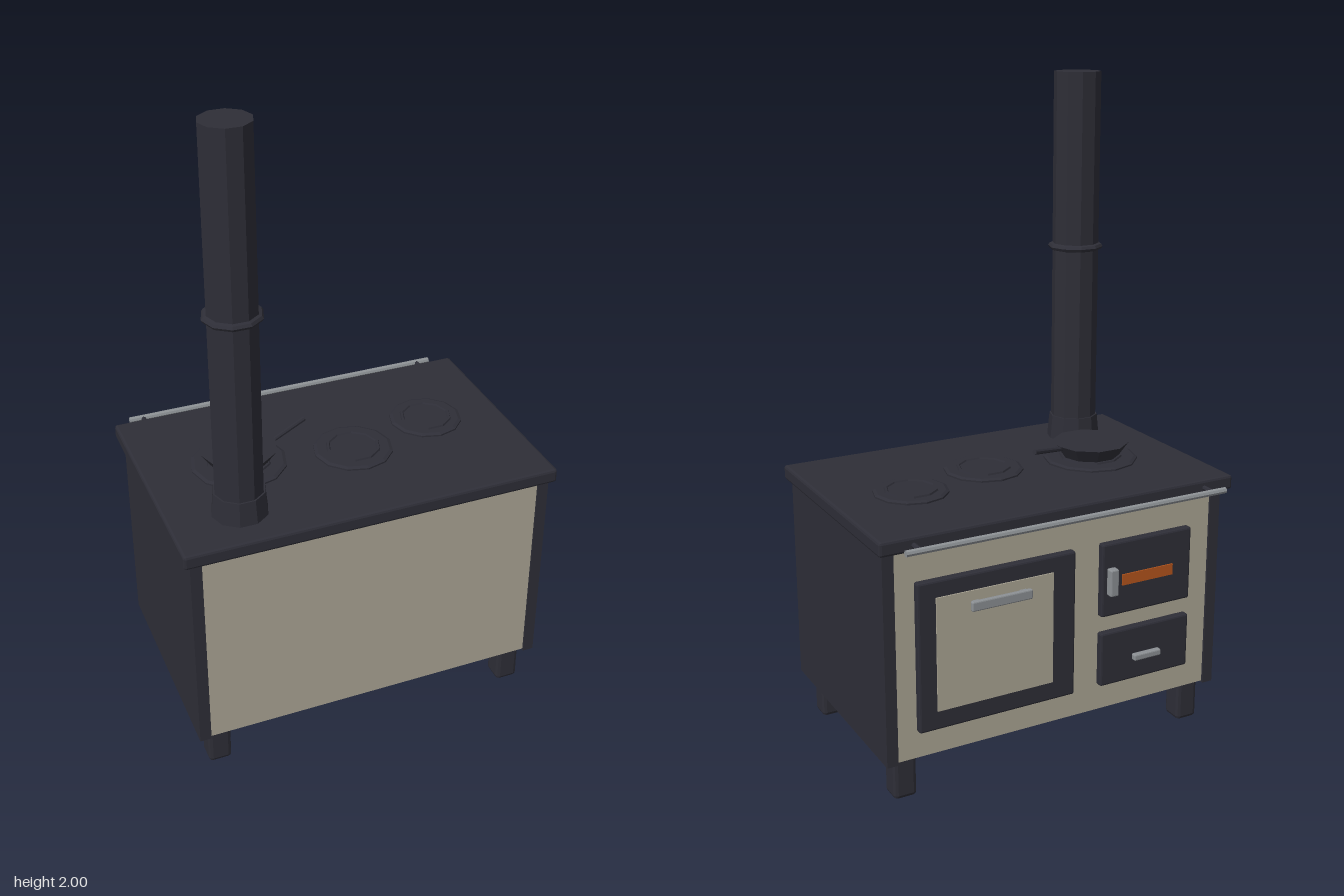
import * as THREE from 'three';
import { RoundedBoxGeometry } from 'three/addons/geometries/RoundedBoxGeometry.js';

const material = (name, color) => {
  const m = new THREE.MeshStandardMaterial({ color, flatShading: true });
  m.name = name;
  return m;
};

export function createModel() {
  const iron = material('dark iron', 0x2e2e37);
  const enamel = material('cream enamel', 0xaca695);
  const steel = material('steel', 0x8c9094);
  const ember = material('ember orange', 0xb5551c);

  const stove = new THREE.Group();
  stove.name = 'stove';

  const add = (name, geometry, mat, x = 0, y = 0, z = 0) => {
    const mesh = new THREE.Mesh(geometry, mat);
    mesh.name = name;
    mesh.position.set(x, y, z);
    stove.add(mesh);
    return mesh;
  };
  // Box given by its lowest and highest corners, with an optional bevel
  const box = (name, mat, [x0, y0, z0], [x1, y1, z1], bevel = 0) => {
    const s = [x1 - x0, y1 - y0, z1 - z0];
    const g = bevel ? new RoundedBoxGeometry(...s, 1, bevel) : new THREE.BoxGeometry(...s);
    return add(name, g, mat, (x0 + x1) / 2, (y0 + y1) / 2, (z0 + z1) / 2);
  };
  // Turned part with a corner on the x axis
  const turned = (name, points, sides, x, y, z) => {
    const g = new THREE.LatheGeometry(points.map(p => new THREE.Vector2(...p)), sides, Math.PI / 2);
    return add(name, g, iron, x, y, z);
  };
  // Straight round bar between two points
  const bar = (name, mat, a, b, r0, r1 = r0) => {
    const p = new THREE.Vector3(...a), q = new THREE.Vector3(...b);
    const mesh = add(name, new THREE.CylinderGeometry(r1, r0, p.distanceTo(q), 8), mat);
    mesh.position.copy(p).lerp(q, 0.5);
    mesh.quaternion.setFromUnitVectors(new THREE.Vector3(0, 1, 0), q.sub(p).normalize());
    return mesh;
  };

  // Body, side panels and worktop
  box('body', enamel, [-0.53, 0.135, -0.305], [0.525, 0.79, 0.375]);
  box('rightSidePanel', iron, [-0.565, 0.13, -0.312], [-0.53, 0.79, 0.38]);
  box('leftSidePanel', iron, [0.525, 0.13, -0.312], [0.56, 0.79, 0.38]);
  box('worktop', iron, [-0.585, 0.785, -0.345], [0.58, 0.83, 0.395], 0.008);

  // Legs
  for (const x of [-0.494, 0.491]) {
    for (const z of [-0.248, 0.312]) {
      box('leg', iron, [x - 0.036, 0, z - 0.036], [x + 0.036, 0.135, z + 0.036], 0.012);
    }
  }

  // Flue pipe with flared collar and joint ring
  const fx = -0.369, fz = 0.238;
  turned('fluePipe', [[0, 0.83], [0.073, 0.83], [0.073, 2], [0, 2]], 10, fx, 0, fz);
  turned('flueCollar', [[0.085, 0.83], [0.078, 0.905], [0.072, 0.905]], 10, fx, 0, fz);
  turned('flueRing', [[0.072, 1.449], [0.082, 1.452], [0.087, 1.46], [0.082, 1.468], [0.072, 1.471]], 10, fx, 0, fz);

  // Hot plates, stepped toward the middle
  for (const [x, z, r, inner] of [[-0.292, 0.003, 0.147, 0.1], [0.056, 0.061, 0.123, 0.086], [0.336, -0.017, 0.114, 0.083]]) {
    turned('hotPlate', [[r, 0], [r, 0.006], [r - 0.01, 0.01], [0, 0.01]], 12, x, 0.829, z);
    turned('hotPlateRing', [[inner, 0.008], [inner - 0.003, 0.015], [inner - 0.01, 0.015], [inner - 0.013, 0.011], [0, 0.011]], 10, x, 0.829, z);
  }

  // Frying pan
  turned('pan', [[0, 0.844], [0.09, 0.844], [0.119, 0.886], [0, 0.886]], 10, -0.292, 0, 0.003);
  bar('panHandle', iron, [-0.185, 0.877, -0.002], [-0.06, 0.9, -0.052], 0.007, 0.008);

  // Oven door with enamel panel and pull handle
  box('ovenDoor', iron, [-0.045, 0.22, -0.328], [0.463, 0.68, -0.3], 0.006);
  box('ovenDoorPanel', enamel, [0.032, 0.28, -0.332], [0.408, 0.63, -0.326]);
  box('ovenHandle', steel, [0.114, 0.575, -0.357], [0.308, 0.605, -0.342], 0.004);
  for (const x of [0.135, 0.287]) {
    box('ovenHandleMount', steel, [x - 0.01, 0.58, -0.345], [x + 0.01, 0.6, -0.33]);
  }

  // Firebox door with glowing slot and lever
  box('fireboxDoor', iron, [-0.452, 0.447, -0.328], [-0.137, 0.68, -0.3], 0.006);
  box('fireSlot', ember, [-0.385, 0.54, -0.332], [-0.205, 0.575, -0.326]);
  box('fireboxLever', steel, [-0.18, 0.52, -0.353], [-0.152, 0.605, -0.327], 0.004);

  // Ash drawer
  box('ashDrawer', iron, [-0.452, 0.22, -0.328], [-0.137, 0.393, -0.3], 0.006);
  box('ashDrawerHandle', steel, [-0.342, 0.287, -0.347], [-0.247, 0.307, -0.327], 0.004);

  // Towel rail on two brackets
  bar('towelRail', steel, [-0.525, 0.806, -0.39], [0.523, 0.806, -0.39], 0.01);
  for (const x of [-0.481, 0.478]) {
    bar('railBracket', iron, [x, 0.806, -0.34], [x, 0.806, -0.39], 0.008);
  }

  return stove;
}
